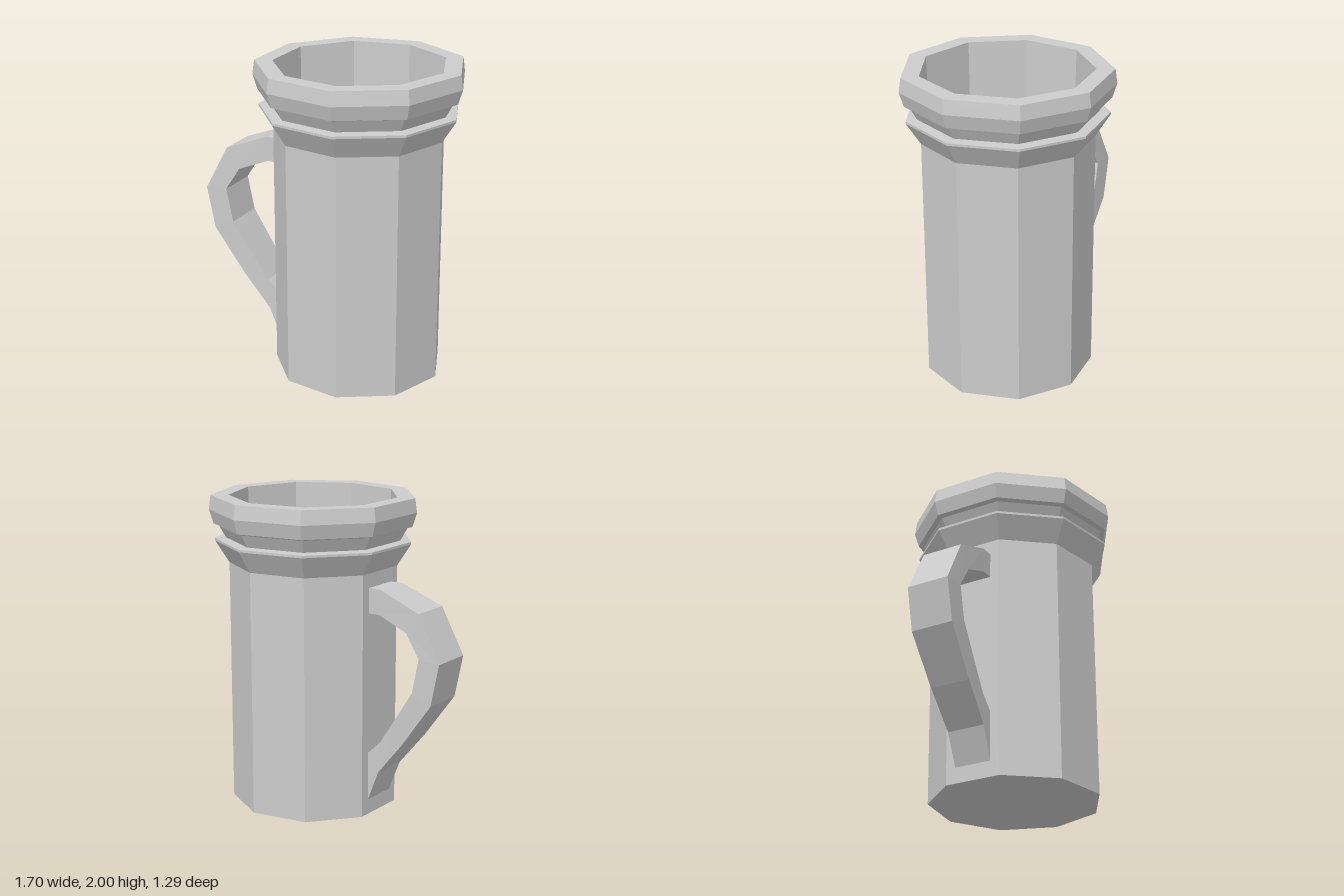
import * as THREE from 'three';

const SIDES = 9;
const CENTRE = [0.195, 0, 0.013];
const HANDLE_ANGLE = Math.PI * 19 / 18; // middle of one body facet

// Faceted ring of revolution with a corner pointing to the back
function turned(name, profile, material) {
  const points = profile.map(([r, y]) => new THREE.Vector2(r, y));
  const mesh = new THREE.Mesh(new THREE.LatheGeometry(points, SIDES, Math.PI), material);
  mesh.name = name;
  return mesh;
}

// Sweep of four-cornered sections: [outerR, outerY, innerR, innerY, halfWidth]
function handleGeometry(sections) {
  const rings = sections.map(([ro, yo, ri, yi, w]) => [
    [ro, yo, w], [ro, yo, -w], [ri, yi, -w], [ri, yi, w],
  ]);
  const positions = [];
  const quad = (a, b, c, d) => positions.push(...a, ...b, ...c, ...a, ...c, ...d);
  for (let i = 0; i < rings.length - 1; i++) {
    for (let j = 0; j < 4; j++) {
      const k = (j + 1) % 4;
      quad(rings[i][j], rings[i + 1][j], rings[i + 1][k], rings[i][k]);
    }
  }
  // End caps against the body
  const [a, b, c, d] = rings[0];
  const [e, f, g, h] = rings[rings.length - 1];
  quad(a, b, c, d);
  quad(h, g, f, e);
  const geometry = new THREE.BufferGeometry();
  geometry.setAttribute('position', new THREE.Float32BufferAttribute(positions, 3));
  geometry.computeVertexNormals();
  return geometry;
}

export function createModel() {
  const material = new THREE.MeshStandardMaterial({ color: 0xcccccc, flatShading: true });
  const mug = new THREE.Group();
  mug.name = 'mug';
  mug.position.set(...CENTRE);

  // Outer wall: base, straight body, flared collar and neck
  mug.add(turned('body', [
    [0, 0], [0.541, 0], [0.541, 1.57], [0.63, 1.71], [0.63, 1.725],
    [0.56, 1.73], [0.605, 1.81],
  ], material));

  // Thick rim
  mug.add(turned('rim', [
    [0.605, 1.81], [0.637, 1.82], [0.665, 1.91], [0.652, 2], [0.54, 2],
  ], material));

  // Hollow inside with a floor
  mug.add(turned('interior', [[0.54, 2], [0.508, 0.08], [0, 0.08]], material));

  // Angular handle, wider at the grip
  const handle = new THREE.Mesh(handleGeometry([
    [0.505, 1.48, 0.505, 1.32, 0.12],
    [0.594, 1.48, 0.589, 1.32, 0.122],
    [0.878, 1.37, 0.79, 1.24, 0.134],
    [1.033, 1.08, 0.888, 1.09, 0.14],
    [0.978, 0.81, 0.843, 0.87, 0.14],
    [0.77, 0.52, 0.725, 0.69, 0.132],
    [0.589, 0.3, 0.6, 0.5, 0.124],
    [0.51, 0.1, 0.505, 0.41, 0.12],
  ]), material);
  handle.name = 'handle';
  handle.rotation.y = HANDLE_ANGLE;
  mug.add(handle);

  const model = new THREE.Group();
  model.add(mug);
  return model;
}
